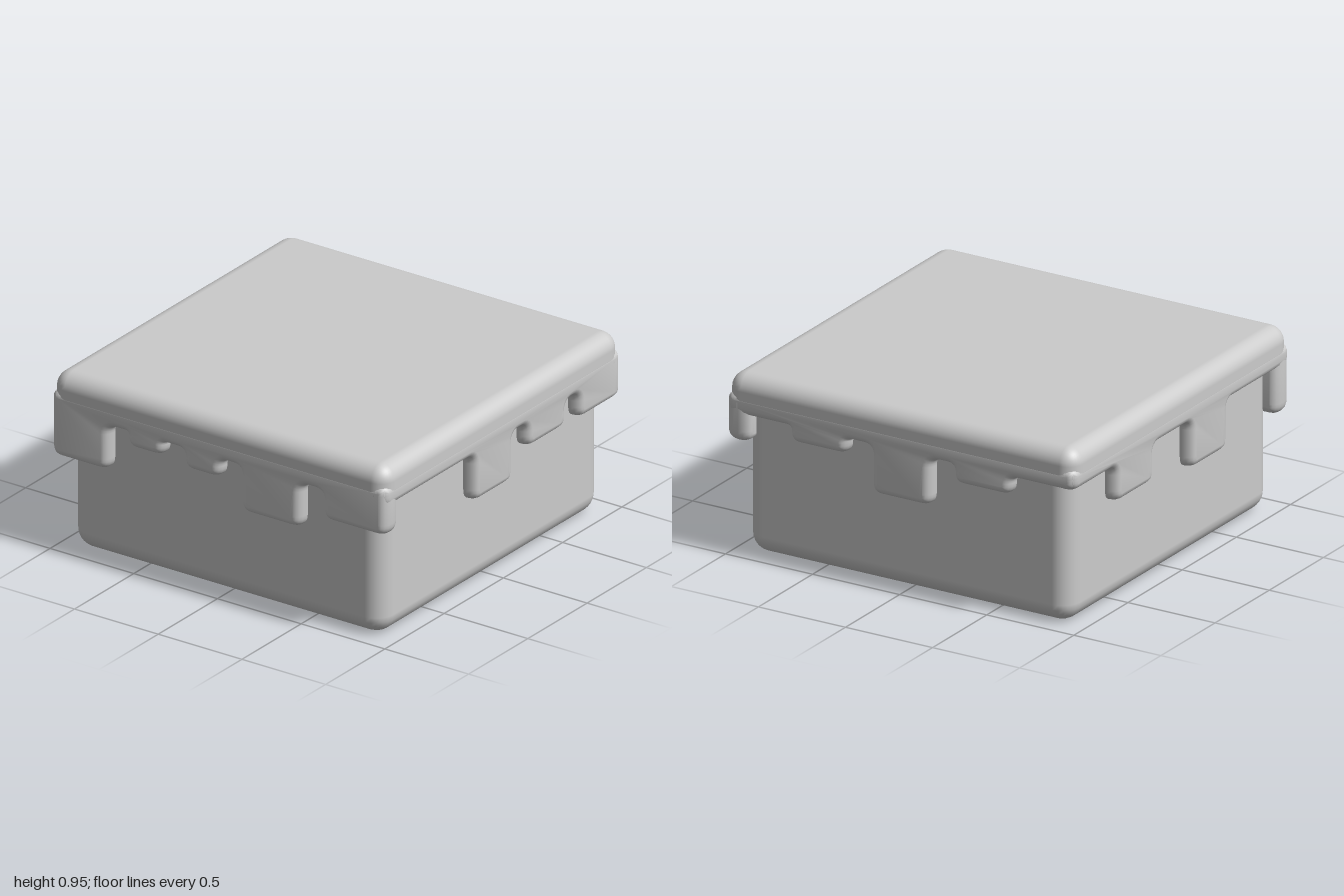
import * as THREE from 'three';
import { RoundedBoxGeometry } from 'three/addons/geometries/RoundedBoxGeometry.js';
import { toCreasedNormals } from 'three/addons/utils/BufferGeometryUtils.js';

const LIP = 0.74;       // lower edge of the lid rim
const SKIRT_TOP = 0.86; // skirt edge hidden inside the lid
const THICK = 0.13;     // skirt thickness
const BEVEL = 0.06;

// Closed outline with every corner rounded by its own radius: [x, y, r]
function roundedShape(points) {
  const shape = new THREE.Shape();
  const n = points.length;
  points.forEach(([x, y, r], i) => {
    const p = new THREE.Vector2(x, y);
    const toward = ([qx, qy]) =>
      new THREE.Vector2(qx, qy).sub(p).setLength(r).add(p);
    const a = toward(points[(i + n - 1) % n]);
    const b = toward(points[(i + 1) % n]);
    if (i === 0) shape.moveTo(a.x, a.y);
    else shape.lineTo(a.x, a.y);
    shape.quadraticCurveTo(x, y, b.x, b.y);
  });
  shape.closePath();
  return shape;
}

// Rim strip for one side, with drips given as [start, end, bottom]
function skirtGeometry(drips) {
  const convex = 0.06;
  const pts = [[-1, SKIRT_TOP, 0.05]];
  if (drips[0][0] > -1) pts.push([-1, LIP, convex]);
  for (const [start, end, bottom] of drips) {
    const fillet = Math.min(0.045, LIP - bottom - convex - 0.002);
    if (start > -1) pts.push([start, LIP, fillet]);
    pts.push([start, bottom, convex], [end, bottom, convex]);
    if (end < 1) pts.push([end, LIP, fillet]);
  }
  if (drips[drips.length - 1][1] < 1) pts.push([1, LIP, convex]);
  pts.push([1, SKIRT_TOP, 0.05]);

  const geometry = new THREE.ExtrudeGeometry(roundedShape(pts), {
    depth: THICK - 2 * BEVEL,
    bevelThickness: BEVEL,
    bevelSize: 0.04,
    bevelOffset: -0.04,
    bevelSegments: 4,
    curveSegments: 6,
  });
  geometry.translate(0, 0, 1 - THICK + BEVEL);
  return toCreasedNormals(geometry, 0.7);
}

export function createModel() {
  const group = new THREE.Group();
  const material = new THREE.MeshStandardMaterial({ color: 0xcccccc });

  const add = (name, geometry, y = 0, turn = 0) => {
    const mesh = new THREE.Mesh(geometry, material);
    mesh.name = name;
    mesh.position.y = y;
    mesh.rotation.y = turn;
    group.add(mesh);
  };

  // Block
  add('body', new RoundedBoxGeometry(1.86, 0.9, 1.86, 3, 0.1), 0.45);

  // Overhanging layer on top
  add('topLayer', new RoundedBoxGeometry(2, 0.955 - LIP, 2, 4, 0.085), (0.955 + LIP) / 2);

  // Dripping rim, one strip per side
  add('frontDrips', skirtGeometry([
    [-0.24, 0.09, 0.49], [0.21, 0.54, 0.61], [0.645, 1, 0.6],
  ]));
  add('leftDrips', skirtGeometry([
    [-0.64, -0.31, 0.66], [-0.17, 0.17, 0.49], [0.3, 0.63, 0.645],
  ]), 0, Math.PI / 2);
  add('backDrips', skirtGeometry([
    [-0.6, -0.25, 0.55], [0.09, 0.43, 0.49],
  ]), 0, Math.PI);
  add('rightDrips', skirtGeometry([
    [-1, -0.66, 0.5], [-0.55, -0.33, 0.665], [-0.21, 0.01, 0.64],
    [0.13, 0.49, 0.5], [0.62, 1, 0.59],
  ]), 0, -Math.PI / 2);

  return group;
}
